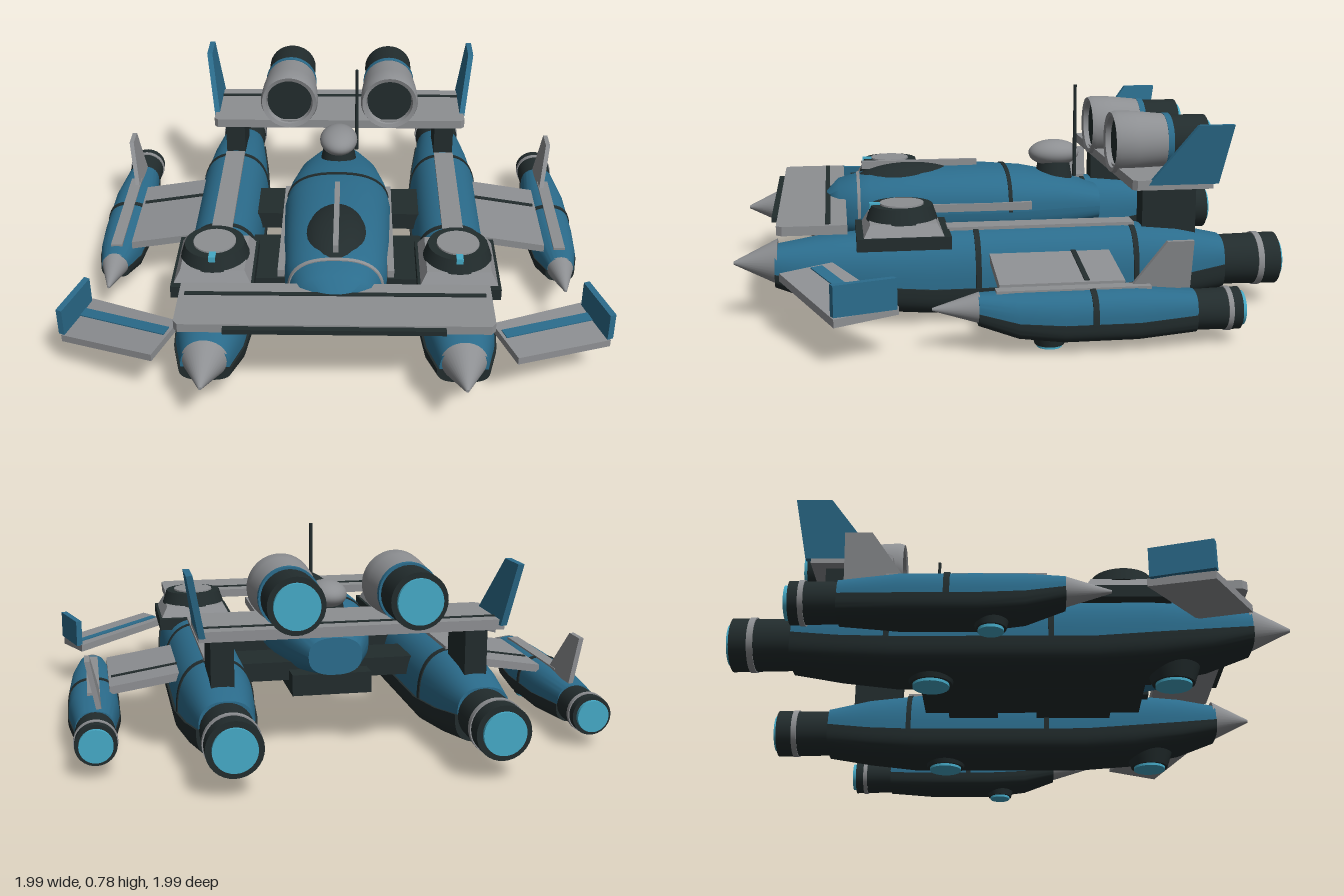
import * as THREE from 'three';
import { toCreasedNormals } from 'three/addons/utils/BufferGeometryUtils.js';

const mat = (name, color) => {
  const m = new THREE.MeshStandardMaterial({ color });
  m.name = name;
  return m;
};

// ---------- geometry helpers (all transforms are baked in) ----------
const box = (w, h, d, x, y, z) => new THREE.BoxGeometry(w, h, d).translate(x, y, z);
const upright = (rTop, rBot, y0, y1, x, z, n = 28) =>
  new THREE.CylinderGeometry(rTop, rBot, y1 - y0, n).translate(x, (y0 + y1) / 2, z);
// cylinder along z, from the front end z0 to the rear end z1
const barrel = (rFront, rBack, z0, z1, x, y, n = 32) =>
  new THREE.CylinderGeometry(rFront, rBack, z0 - z1, n).rotateX(Math.PI / 2).translate(x, y, (z0 + z1) / 2);
const dome = (rx, ry, rz, x, y, z) =>
  new THREE.SphereGeometry(1, 32, 20).scale(rx, ry, rz).translate(x, y, z);

const extrude = (pts, depth) => new THREE.ExtrudeGeometry(
  new THREE.Shape(pts.map(p => new THREE.Vector2(p[0], p[1]))), { depth, bevelEnabled: false });
// y rises by k for each unit of x beyond x0
const slope = (g, k, x0) => g.applyMatrix4(new THREE.Matrix4().set(1, 0, 0, 0, k, 1, 0, -k * x0, 0, 0, 1, 0, 0, 0, 0, 1));
// x leans by k for each unit of y above y0
const lean = (g, k, y0) => g.applyMatrix4(new THREE.Matrix4().set(1, k, 0, -k * y0, 0, 1, 0, 0, 0, 0, 1, 0, 0, 0, 0, 1));
// horizontal plate from [x, z] corners
const plate = (pts, y, t) => extrude(pts.map(([x, z]) => [x, -z]), t).rotateX(-Math.PI / 2).translate(0, y, 0);
// vertical fin from [z, y] corners
const fin = (pts, x, t) => extrude(pts, t).rotateY(-Math.PI / 2).translate(x + t / 2, 0, 0);

// Hull skin through stations [z, halfWidth, top, mid, bottom], front to back,
// over the arc a0..a1, closed by a flat chord and end caps.
function loft(stations, cx, a0, a1, { p = 0.8, grow = 0 } = {}) {
  const n = 24, pos = [], idx = [], bend = v => Math.sign(v) * Math.pow(Math.abs(v), p);
  for (const [z, w, top, mid, bot] of stations) {
    for (let i = 0; i <= n; i++) {
      const a = a0 + (a1 - a0) * i / n, c = Math.cos(a), s = Math.sin(a);
      const h = (s > 0 ? top - mid : mid - bot) + grow;
      pos.push(cx + (w + grow) * bend(c), mid + h * bend(s), z);
    }
  }
  const m = n + 1, last = (stations.length - 1) * m;
  for (let r = 0; r < last; r += m) {
    for (let i = 0; i < m; i++) {
      const a = r + i, b = r + (i + 1) % m;
      idx.push(a, a + m, b, b, a + m, b + m);
    }
  }
  for (let i = 1; i < n; i++) idx.push(0, i, i + 1, last, last + i + 1, last + i);
  const g = new THREE.BufferGeometry();
  g.setAttribute('position', new THREE.Float32BufferAttribute(pos, 3));
  g.setIndex(idx);
  return toCreasedNormals(g, 0.7);
}
const upper = (st, cx, o) => loft(st, cx, 0, Math.PI, o);
const lower = (st, cx, o) => loft(st, cx, Math.PI, 2 * Math.PI, o);
// station interpolated at z
function at(st, z) {
  let i = 0;
  while (i < st.length - 2 && st[i + 1][0] > z) i++;
  const t = (z - st[i][0]) / (st[i + 1][0] - st[i][0]);
  return st[i].map((v, k) => v + (st[i + 1][k] - v) * t);
}
const band = (st, cx, z, w = 0.02) => upper([at(st, z + w / 2), at(st, z - w / 2)], cx, { grow: 0.004 });

function mirrored(geo) {
  const g = (geo.index ? geo.toNonIndexed() : geo.clone()).scale(-1, 1, 1);
  for (const { array, itemSize: s } of Object.values(g.attributes)) {
    for (let i = 0; i < array.length; i += 3 * s) {
      for (let k = 0; k < s; k++) {
        const t = array[i + s + k];
        array[i + s + k] = array[i + 2 * s + k];
        array[i + 2 * s + k] = t;
      }
    }
  }
  return g;
}

export function createModel() {
  const blue = mat('hull blue', 0x2b6c8c), grey = mat('panel grey', 0x8d8f92);
  const dark = mat('dark metal', 0x222c2d), glow = mat('thruster glow', 0x45a9c6);
  const root = new THREE.Group();
  root.name = 'hoverShip';
  const add = (name, geo, m) => {
    const mesh = new THREE.Mesh(geo, m);
    mesh.name = name;
    root.add(mesh);
  };
  const pair = (name, geo, m) => {
    add(name + 'Left', geo, m);
    add(name + 'Right', mirrored(geo), m);
  };

  // central fuselage
  const body = [
    [0.665, 0.08, 0.37, 0.29, 0.235], [0.62, 0.145, 0.415, 0.29, 0.21], [0.5, 0.185, 0.445, 0.3, 0.195],
    [0.3, 0.2, 0.46, 0.31, 0.19], [0.05, 0.21, 0.462, 0.31, 0.19], [-0.1, 0.195, 0.45, 0.31, 0.19],
    [-0.25, 0.16, 0.42, 0.31, 0.2], [-0.4, 0.1, 0.37, 0.3, 0.23]];
  add('fuselageTop', upper(body, 0), blue);
  add('fuselageBottom', lower(body, 0), blue);
  add('fuselageBand', band(body, 0, 0.03 - 0.06, 0.015), dark);
  add('noseBand', band(body, 0, 0.545, 0.012), grey);
  add('belly', box(0.3, 0.08, 0.85, 0, 0.18, 0.08), dark);
  add('canopy', dome(0.13, 0.085, 0.22, 0, 0.395, 0.345), dark);
  add('canopySpine', box(0.02, 0.03, 0.45, 0, 0.47, 0.305), grey);
  pair('shoulderPanel', box(0.025, 0.03, 0.6, 0.2, 0.335, 0.19), grey);
  pair('headlight', box(0.035, 0.025, 0.06, 0.1, 0.27, 0.625), grey);

  // sensor dome and antenna
  add('sensorBase', upright(0.06, 0.075, 0.4, 0.48, 0, -0.23), dark);
  add('sensorDome', dome(0.076, 0.052, 0.1, 0, 0.502, -0.23), grey);
  add('antenna', upright(0.006, 0.008, 0.42, 0.78, 0.073, -0.3, 10), dark);

  // cross beams joining the hulls
  add('frontBeam', box(0.66, 0.07, 0.3, 0, 0.215, 0.25), dark);
  add('rearBeam', box(0.66, 0.07, 0.2, 0, 0.215, -0.16), dark);

  // main side hulls
  const X = 0.447;
  const hull = [
    [0.85, 0.085, 0.275, 0.19, 0.14], [0.7, 0.12, 0.3, 0.165, 0.085], [0.5, 0.137, 0.318, 0.145, 0.045],
    [0.3, 0.14, 0.32, 0.13, 0.03], [-0.4, 0.14, 0.32, 0.13, 0.03], [-0.6, 0.12, 0.3, 0.145, 0.05],
    [-0.77, 0.095, 0.262, 0.17, 0.075]];
  pair('hullTop', upper(hull, X), blue);
  pair('hullKeel', lower(hull, X, { p: 0.65, grow: 0.008 }), dark);
  pair('hullNose', barrel(0.006, 0.082, 0.995, 0.84, X, 0.215), grey);
  for (const z of [0.14, -0.43]) pair('hullBand', band(hull, X, z), dark);
  pair('hullSpine', box(0.08, 0.03, 0.68, X, 0.313, -0.1), grey);
  pair('hullEngine', barrel(0.092, 0.096, -0.74, -0.985, X, 0.165), dark);
  pair('hullEngineRing', barrel(0.099, 0.099, -0.9, -0.922, X, 0.165), grey);
  pair('hullEngineGlow', barrel(0.075, 0.075, -0.98, -0.997, X, 0.165), glow);
  for (const z of [0.57, -0.28]) {
    pair('hullLift', upright(0.095, 0.075, 0.01, 0.07, X, z), dark);
    pair('hullLiftGlow', upright(0.065, 0.065, 0, 0.015, X, z), glow);
  }

  // turrets on the hulls
  pair('turretDeck', box(0.3, 0.045, 0.33, X, 0.3, 0.4), dark);
  pair('turretPlinth', toCreasedNormals(
    new THREE.CylinderGeometry(0.165, 0.2, 0.045, 4).rotateY(Math.PI / 4).translate(X, 0.342, 0.4), 0.3), grey);
  pair('turretDrum', upright(0.11, 0.127, 0.36, 0.412, X, 0.4), dark);
  pair('turretLid', upright(0.078, 0.08, 0.4, 0.418, X, 0.4), grey);
  pair('turretLens', box(0.025, 0.02, 0.04, X, 0.408, 0.495), glow);

  // outer pods
  const P = 0.877;
  const pod = [
    [0.18, 0.052, 0.2, 0.145, 0.1], [0.05, 0.08, 0.205, 0.115, 0.055], [-0.1, 0.09, 0.205, 0.105, 0.037],
    [-0.35, 0.09, 0.205, 0.105, 0.037], [-0.55, 0.068, 0.185, 0.115, 0.05]];
  pair('podTop', upper(pod, P), blue);
  pair('podKeel', lower(pod, P, { p: 0.65, grow: 0.004 }), dark);
  pair('podNose', barrel(0.005, 0.052, 0.33, 0.175, P, 0.152), grey);
  pair('podSpine', box(0.045, 0.02, 0.52, P, 0.2, -0.14), grey);
  pair('podBand', band(pod, P, -0.2), dark);
  pair('podEngine', barrel(0.068, 0.072, -0.53, -0.705, P, 0.115), dark);
  pair('podEngineRing', barrel(0.075, 0.075, -0.655, -0.672, P, 0.115), grey);
  pair('podEngineGlow', barrel(0.058, 0.058, -0.7, -0.72, P, 0.115), glow);
  pair('podLift', upright(0.06, 0.05, 0.02, 0.06, P, -0.06), dark);
  pair('podLiftGlow', upright(0.042, 0.042, 0.01, 0.025, P, -0.06), glow);
  pair('podFin', lean(fin([[-0.33, 0.19], [-0.54, 0.19], [-0.54, 0.36], [-0.45, 0.36]], 0.862, 0.018), 0.2, 0.19), grey);
  pair('podWing', slope(box(0.27, 0.03, 0.43, 0.685, 0.215, -0.115), -0.16, 0.685), grey);
  pair('podWingBand', slope(box(0.25, 0.038, 0.018, 0.685, 0.215, -0.2), -0.16, 0.685), dark);

  // canards with upright tips
  pair('canard', slope(plate([[0.56, 0.65], [0.635, 0.83], [0.99, 0.65], [0.915, 0.44]], 0.205, 0.028), -0.16, 0.58), grey);
  pair('canardStripe', slope(plate([[0.59, 0.685], [0.605, 0.725], [0.95, 0.54], [0.935, 0.5]], 0.232, 0.005), -0.16, 0.58), blue);
  pair('canardTip', plate([[0.913, 0.455], [0.975, 0.66], [0.997, 0.65], [0.935, 0.445]], 0.175, 0.105), blue);

  // front wing
  add('frontWing', plate([[-0.55, 0.595], [-0.55, 0.82], [-0.535, 0.84], [0.535, 0.84], [0.55, 0.82], [0.55, 0.595]], 0.332, 0.033), grey);
  add('frontWingStripe', box(1.06, 0.008, 0.018, 0, 0.365, 0.662), dark);
  add('frontWingEdge', box(0.76, 0.018, 0.03, 0, 0.35, 0.847), dark);

  // tail wing on pylons, with leaning fins
  pair('tailPylon', box(0.08, 0.23, 0.2, X, 0.35, -0.57), dark);
  add('tailWing', plate([[-0.53, -0.72], [-0.53, -0.44], [-0.515, -0.425], [0.515, -0.425], [0.53, -0.44], [0.53, -0.72]], 0.452, 0.036), grey);
  add('tailWingStripe', box(1.05, 0.006, 0.018, 0, 0.488, -0.66), dark);
  pair('tailFin', lean(fin([[-0.48, 0.47], [-0.74, 0.47], [-0.78, 0.69], [-0.65, 0.69]], 0.52, 0.022), 0.19, 0.47), blue);

  // twin tail engines with hollow intakes
  const E = 0.21, ey = 0.575;
  const cowl = [[0.09, 0.04], [0.098, -0.005], [0.114, -0.01], [0.12, 0.01], [0.117, 0.08], [0.105, 0.2], [0.09, 0.2]]
    .map(p => new THREE.Vector2(p[0], p[1]));
  const cowlGeo = new THREE.LatheGeometry(cowl, 36).rotateX(-Math.PI / 2);
  pair('tailEngineCowl', toCreasedNormals(cowlGeo, 0.6).translate(E, ey, -0.42), grey);
  pair('tailEngineIntake', barrel(0.092, 0.092, -0.435, -0.5, E, ey), dark);
  pair('tailEngineRing', barrel(0.108, 0.108, -0.612, -0.635, E, ey), blue);
  pair('tailEngineNozzle', barrel(0.1, 0.1, -0.6, -0.775, E, ey), dark);
  pair('tailEngineGlow', barrel(0.08, 0.08, -0.77, -0.79, E, ey), glow);

  return root;
}
